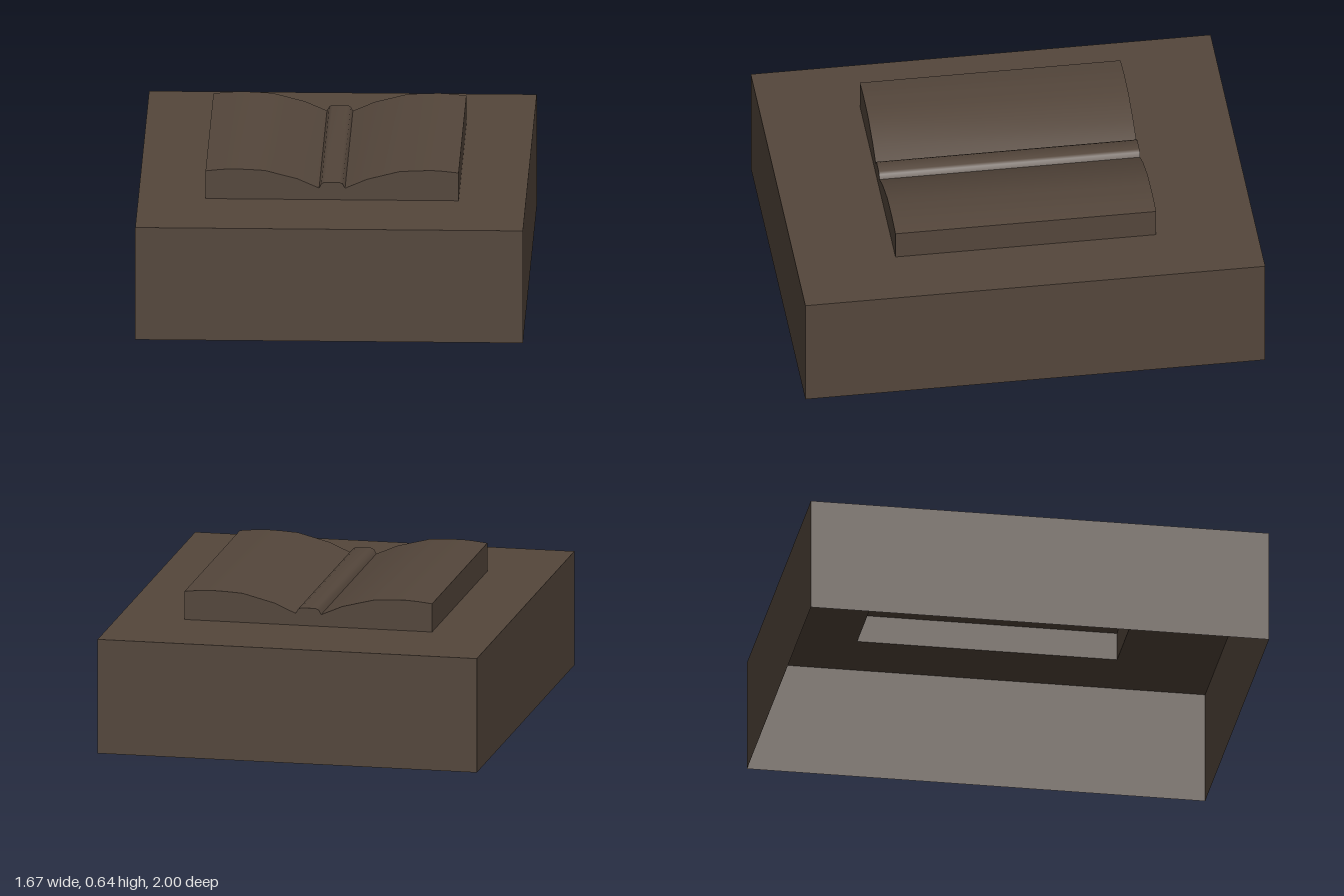
import * as THREE from 'three';
import { toCreasedNormals } from 'three/addons/utils/BufferGeometryUtils.js';

const HALF_W = 0.835, HALF_D = 1, TOP = 0.505; // plinth
const BOOK_W = 0.545, BOOK_D = 0.567; // open book relief

// Ruled surface between two rows of [x, y, z] points, with sharp edges kept
function strip(lower, upper) {
  const pos = [];
  for (let i = 0; i < lower.length - 1; i++) {
    const [a, b, c, d] = [lower[i], lower[i + 1], upper[i + 1], upper[i]];
    pos.push(...a, ...b, ...c, ...a, ...c, ...d);
  }
  const g = new THREE.BufferGeometry();
  g.setAttribute('position', new THREE.Float32BufferAttribute(pos, 3));
  return toCreasedNormals(g, 0.65);
}

const atHeight = (row, y) => row.map(([x, , z]) => [x, y, z]);

export function createModel() {
  const group = new THREE.Group();
  const brown = new THREE.MeshStandardMaterial({ color: 0x54463b });
  brown.side = THREE.DoubleSide;
  brown.name = 'dark brown';
  const add = (name, geometry) => {
    const mesh = new THREE.Mesh(geometry, brown);
    mesh.name = name;
    group.add(mesh);
    return mesh;
  };

  // Plinth walls, open underneath
  const ring = [[-1, 1], [1, 1], [1, -1], [-1, -1], [-1, 1]].map(([x, z]) => [x * HALF_W, 0, z * HALF_D]);
  add('plinthWalls', strip(ring, atHeight(ring, TOP)));

  // Plinth top, cut out below the hollow book
  const rect = (P, w, d) => new P([[-w, -d], [w, -d], [w, d], [-w, d]].map(([x, y]) => new THREE.Vector2(x, y)));
  const frame = rect(THREE.Shape, HALF_W, HALF_D);
  frame.holes.push(rect(THREE.Path, BOOK_W, BOOK_D));
  add('plinthTop', new THREE.ShapeGeometry(frame).rotateX(-Math.PI / 2).translate(0, TOP, 0));

  // Half cross-section of the open book: spine, gutter, curved page
  const half = [
    [0.032, 0.583], [0.046, 0.576], [0.056, 0.557], [0.15, 0.598],
    [0.29, 0.634], [0.36, 0.638], [0.43, 0.64], [0.48, 0.637], [BOOK_W, 0.63],
  ];
  const profile = [...half.map(([x, y]) => [-x, y]).reverse(), ...half];
  const front = profile.map(([x, y]) => [x, y, BOOK_D]);
  const back = profile.map(([x, y]) => [x, y, -BOOK_D]);
  add('bookPagesAndSpine', strip(front, back));

  // Book edges all the way round
  const rim = [...front, ...back.slice().reverse(), front[0]];
  add('bookEdges', strip(atHeight(rim, TOP), rim));

  return group;
}
